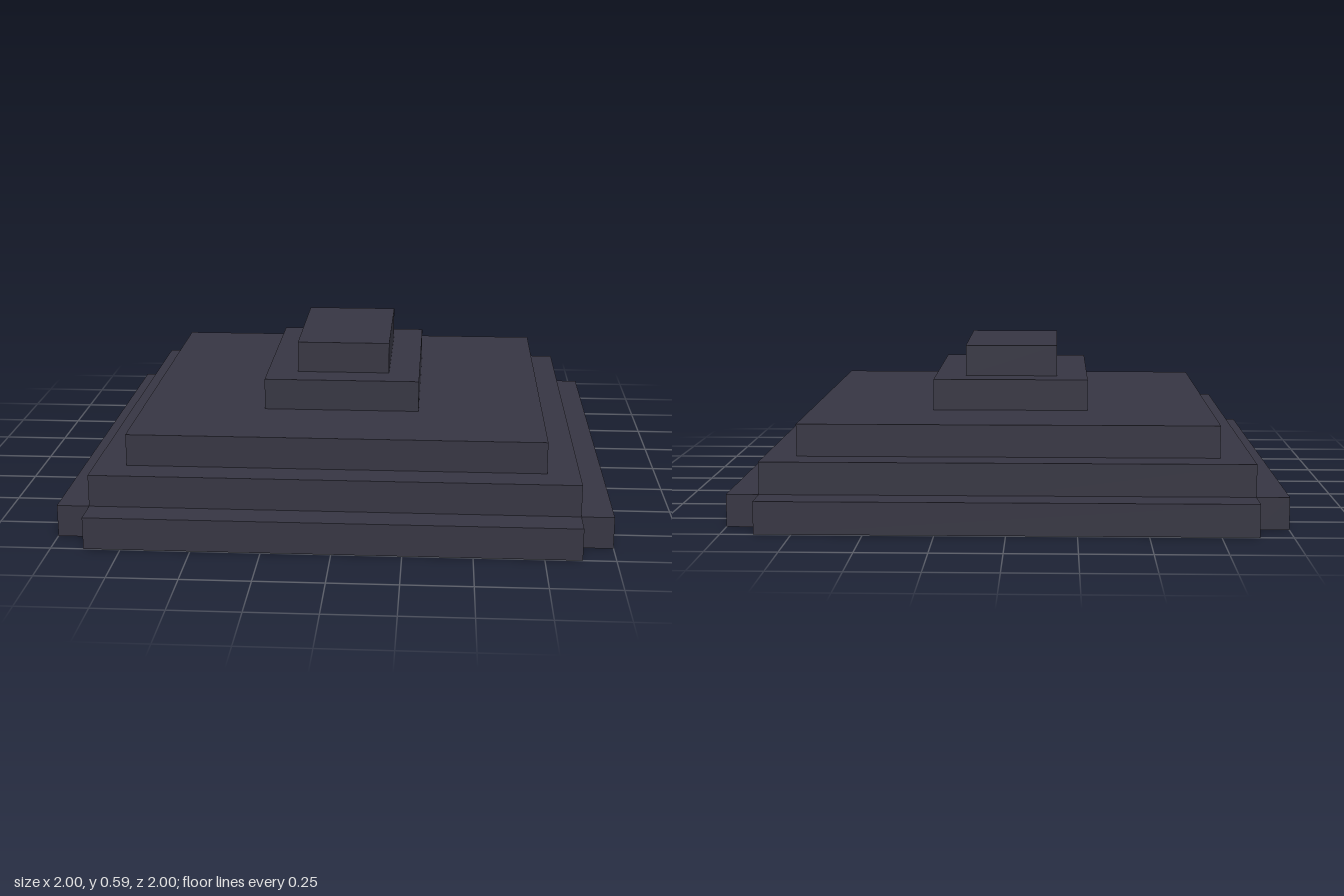
import * as THREE from 'three';

// One step of the pyramid; the whole footprint is 17 steps wide
const U = 2 / 17;

export function createModel() {
  const group = new THREE.Group();
  group.name = 'steppedPyramid';
  const stone = new THREE.MeshStandardMaterial({ color: 0x373643 });
  stone.name = 'darkStone';

  // Box sized in steps, standing on level y
  const addBlock = (name, width, height, depth, x, y, z) => {
    const mesh = new THREE.Mesh(new THREE.BoxGeometry(width * U, height * U, depth * U), stone);
    mesh.position.set(x * U, (y + height / 2) * U, z * U);
    mesh.name = name;
    group.add(mesh);
  };

  // Stacked tiers: name, width, height, depth, level
  const tiers = [
    ['baseTier', 15, 2, 15, 0],
    ['middleTier', 13, 1, 13, 2],
    ['upperTier', 5, 1, 7, 3],
    ['topTier', 3, 1, 5, 4],
  ];
  for (const [name, w, h, d, y] of tiers) addBlock(name, w, h, d, 0, y, 0);

  // Low ledges along each side, leaving the corners notched
  for (const [side, end, s] of [['left', 'front', 1], ['right', 'back', -1]]) {
    addBlock(`${side}Ledge`, 1, 1, 15, s * 8, 0, 0);
    addBlock(`${end}Ledge`, 15, 1, 1, 0, 0, s * 8);
  }
  return group;
}
